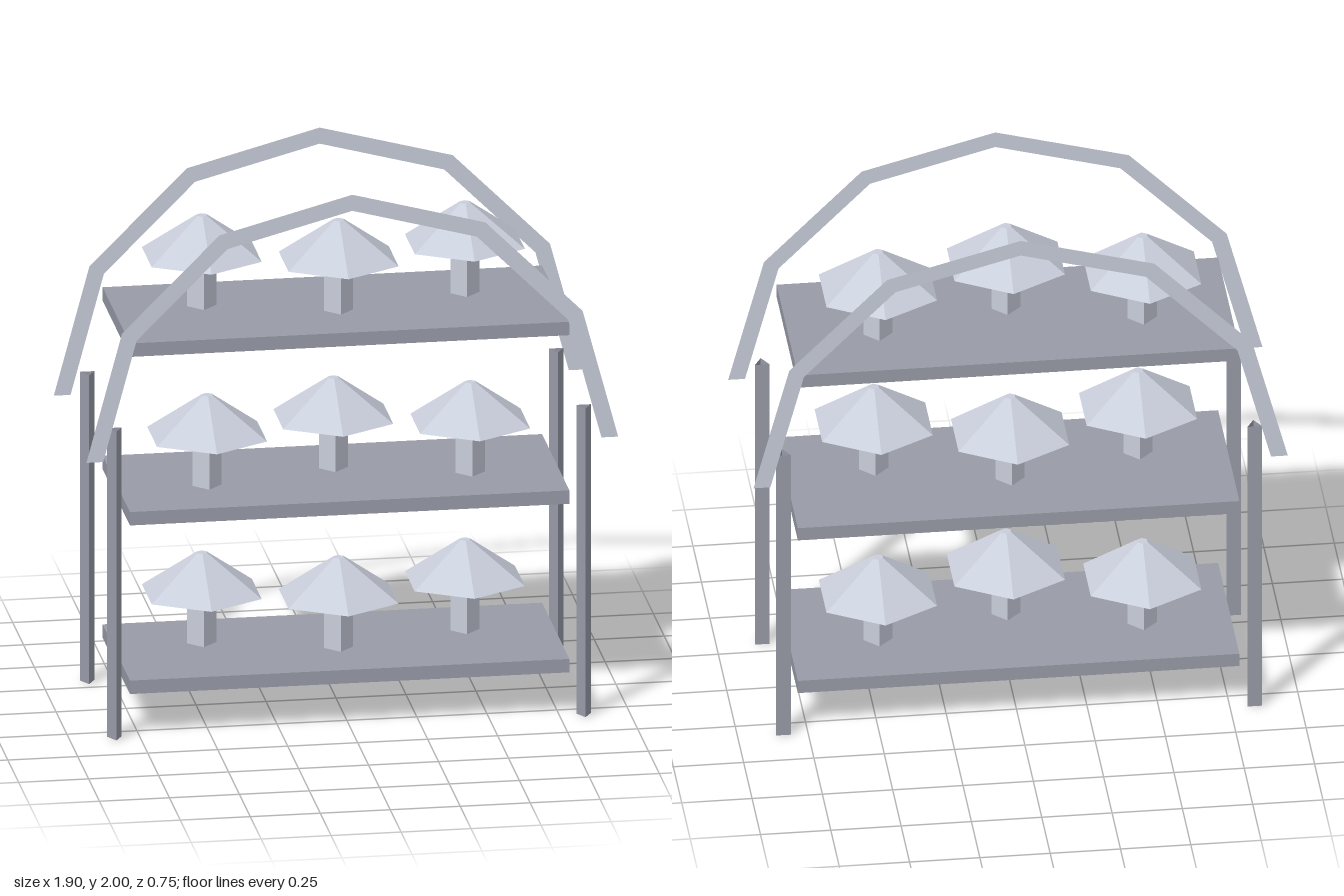
import * as THREE from 'three';

export function createModel() {
  const model = new THREE.Group();
  model.name = 'mushroomRack';

  const pale = new THREE.MeshStandardMaterial({ color: 0xc9cedb, flatShading: true, side: THREE.DoubleSide });
  pale.name = 'paleGrey';
  const slate = new THREE.MeshStandardMaterial({ color: 0x989ca8, flatShading: true, side: THREE.DoubleSide });
  slate.name = 'slateGrey';

  const add = (parent, name, geometry, material, x, y, z) => {
    const mesh = new THREE.Mesh(geometry, material);
    mesh.name = name;
    mesh.position.set(x, y, z);
    parent.add(mesh);
    return mesh;
  };

  // Shared part shapes
  const shelfGeo = new THREE.BoxGeometry(1.57, 0.05, 0.63);
  const stemGeo = new THREE.CylinderGeometry(0.052, 0.052, 0.19, 4);
  const capGeo = new THREE.CylinderGeometry(0.02, 0.227, 0.147, 6);
  const postGeo = new THREE.CylinderGeometry(0.03, 0.03, 1.15, 3, 1, true);
  const archGeo = new THREE.RingGeometry(0.89, 0.95, 6, 1, 0, Math.PI);

  // Three shelves, each with a zigzag row of mushrooms
  for (let level = 0; level < 3; level++) {
    const top = 0.21 + level * 0.628;
    add(model, 'shelf', shelfGeo, slate, 0, top - 0.025, 0);
    for (let i = -1; i <= 1; i++) {
      const mushroom = new THREE.Group();
      mushroom.name = 'mushroom';
      const forward = (i + level) % 2 === 0 ? 1 : -1;
      mushroom.position.set(i * 0.47, top, forward * 0.062);
      add(mushroom, 'stem', stemGeo, pale, 0, 0.095, 0);
      add(mushroom, 'cap', capGeo, pale, 0, 0.19 + 0.0735, 0);
      model.add(mushroom);
    }
  }

  // Three-sided corner posts, and a flat arch at front and back
  for (const side of [-1, 1]) {
    for (const x of [-0.838, 0.838]) add(model, 'post', postGeo, slate, x, 0.575, side * 0.315);
    add(model, 'arch', archGeo, pale, 0, 1.05, side * 0.376);
  }

  return model;
}
